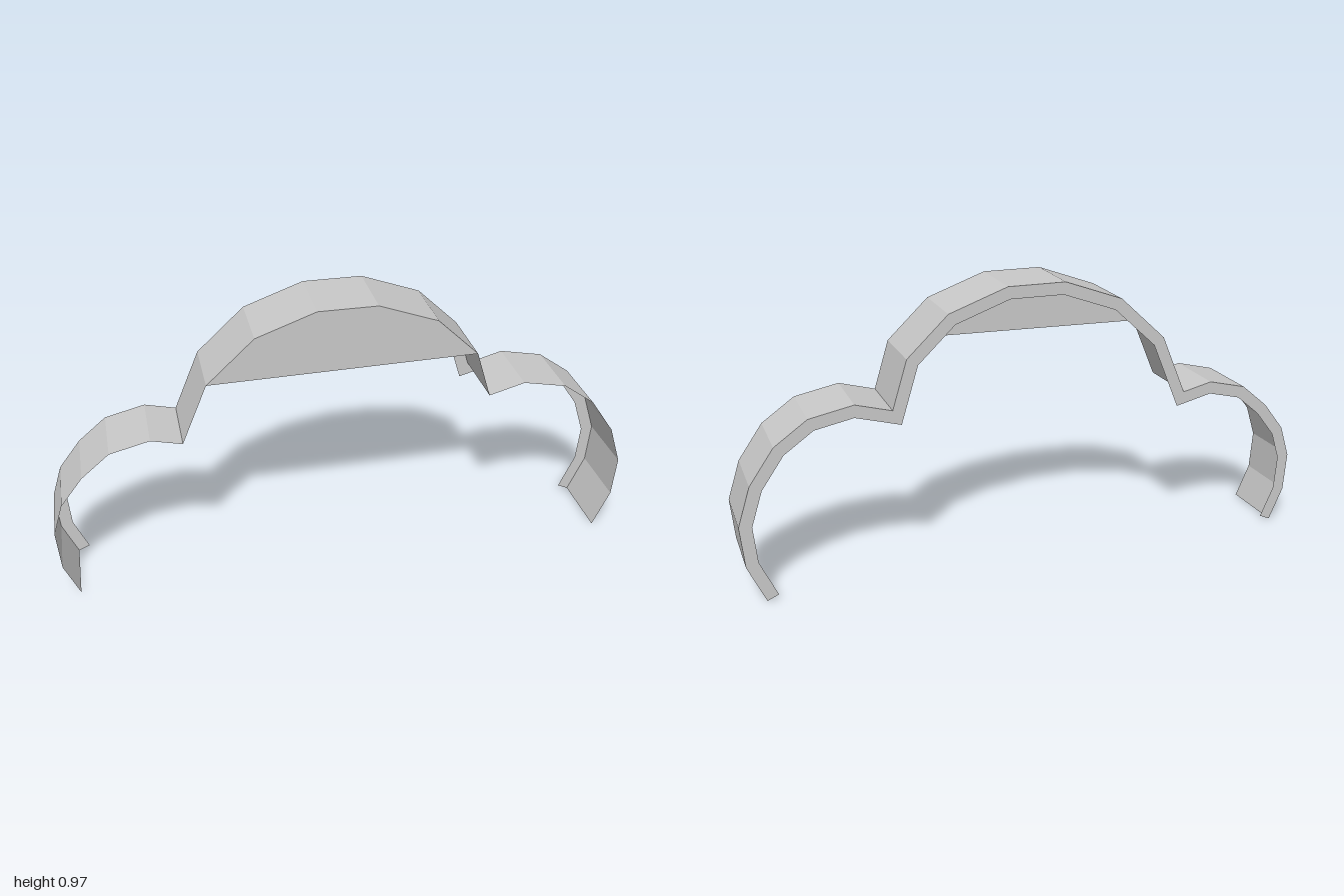
import * as THREE from 'three';

// Outline of the arch, from its right foot over the dome to its left foot
const outline = [
  [-0.94, 0], [-0.99, 0.115], [-1, 0.25], [-0.965, 0.36], [-0.89, 0.457], [-0.795, 0.537],
  [-0.66, 0.57], [-0.555, 0.545], [-0.468, 0.751], [-0.307, 0.9], [-0.104, 0.973],
  [0.096, 0.973], [0.297, 0.9], [0.438, 0.765], [0.489, 0.6], [0.612, 0.634],
  [0.762, 0.604], [0.874, 0.524], [0.957, 0.404], [1, 0.27], [0.987, 0.129], [0.928, 0],
].map(([x, y]) => new THREE.Vector2(x, y));
const HALF = 0.122, RIM = 0.042;

// Mitred inward offset of the outline
function inset(points, distance) {
  const normals = points.slice(1).map((p, i) => {
    const d = p.clone().sub(points[i]).normalize();
    return new THREE.Vector2(d.y, -d.x);
  });
  return points.map((p, i) => {
    const a = normals[Math.max(i - 1, 0)];
    const b = normals[Math.min(i, normals.length - 1)];
    const m = a.clone().add(b).normalize();
    return p.clone().addScaledVector(m, distance / m.dot(a));
  });
}

// Faceted strip between two outlines, each at its own depth
function strip(a, za, b, zb) {
  const pos = [];
  for (let i = 0; i < a.length - 1; i++) {
    const p = [a[i].x, a[i].y, za], q = [a[i + 1].x, a[i + 1].y, za];
    const r = [b[i + 1].x, b[i + 1].y, zb], s = [b[i].x, b[i].y, zb];
    pos.push(...p, ...q, ...r, ...p, ...r, ...s);
  }
  const g = new THREE.BufferGeometry();
  g.setAttribute('position', new THREE.Float32BufferAttribute(pos, 3));
  g.computeVertexNormals();
  return g;
}

export function createModel() {
  const group = new THREE.Group();
  group.name = 'archedCanopy';
  const grey = new THREE.MeshStandardMaterial({ color: 0xc8c8c8, side: THREE.DoubleSide, flatShading: true });
  grey.name = 'light grey';
  const add = (name, geometry) => {
    const mesh = new THREE.Mesh(geometry, grey);
    mesh.name = name;
    group.add(mesh);
    return mesh;
  };

  // Thin outer band
  add('outerBand', strip(outline, HALF, outline, -HALF));

  // Flat flange along the back edge
  add('backRim', strip(outline, -HALF, inset(outline, RIM), -HALF));

  // Flat plate closing the front of the dome
  add('frontPlate', new THREE.ShapeGeometry(new THREE.Shape(outline.slice(8, 14)))).position.z = HALF;

  return group;
}
